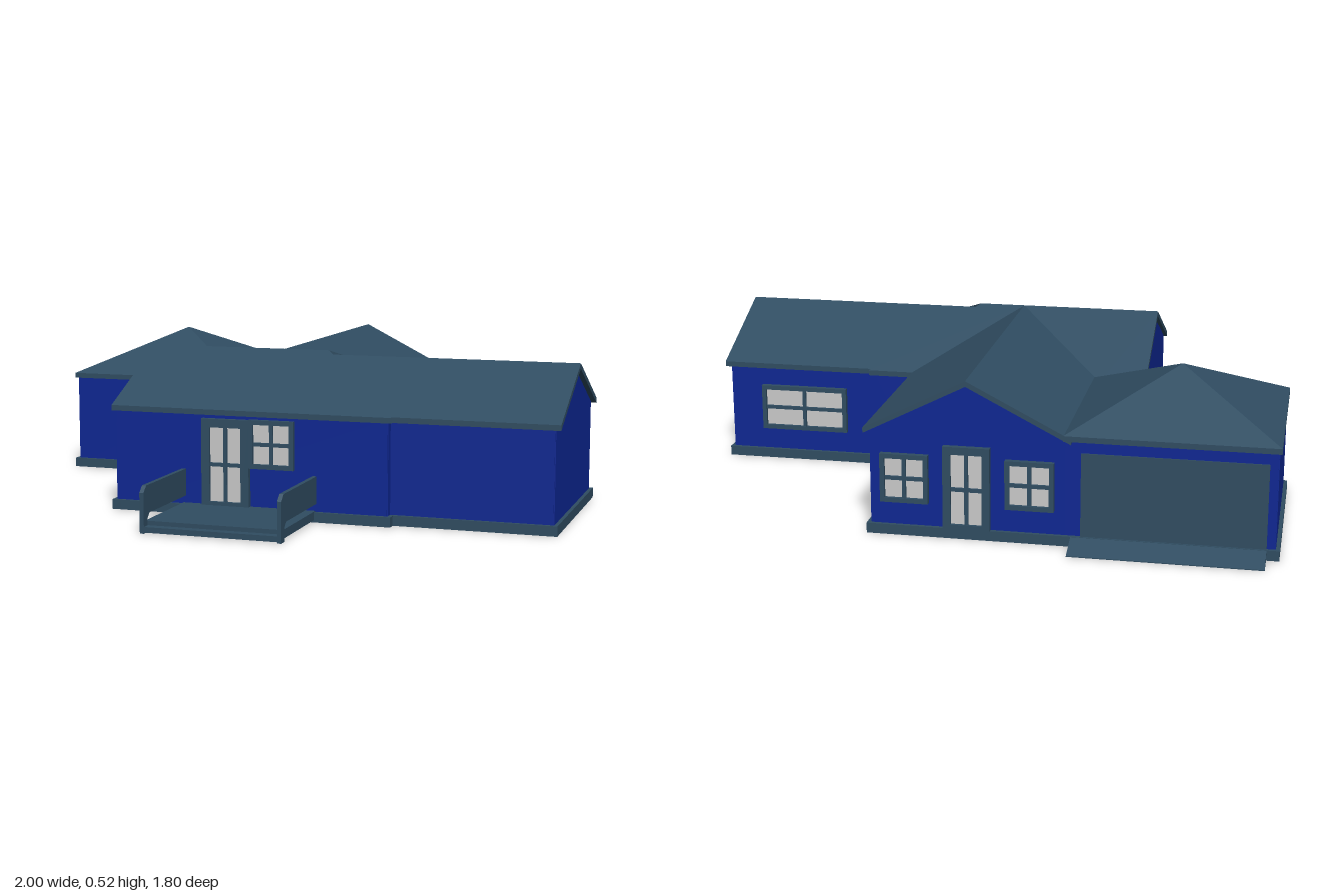
import * as THREE from 'three';

const mat = (color) => new THREE.MeshStandardMaterial({ color, flatShading: true, side: THREE.DoubleSide });
const wallMat = mat(0x0d2794);
const trimMat = mat(0x304d62);
const glassMat = mat(0xcccccc);

function add(parent, name, geometry, material, x = 0, y = 0, z = 0) {
  const mesh = new THREE.Mesh(geometry, material);
  mesh.name = name;
  mesh.position.set(x, y, z);
  parent.add(mesh);
  return mesh;
}

// Box given by its minimum and maximum corners
function block(parent, name, material, [x0, y0, z0], [x1, y1, z1]) {
  return add(parent, name, new THREE.BoxGeometry(x1 - x0, y1 - y0, z1 - z0), material,
    (x0 + x1) / 2, (y0 + y1) / 2, (z0 + z1) / 2);
}

// Convex roof plane, listed anticlockwise from above, with a vertical thickness
function slab(points, t = 0.018) {
  const n = points.length;
  const low = points.map(([x, y, z]) => [x, y - t, z]);
  const out = [];
  for (let i = 1; i < n - 1; i++) {
    out.push(points[0], points[i], points[i + 1], low[0], low[i + 1], low[i]);
  }
  for (let i = 0; i < n; i++) {
    const j = (i + 1) % n;
    out.push(points[i], low[i], low[j], points[i], low[j], points[j]);
  }
  const g = new THREE.BufferGeometry();
  g.setAttribute('position', new THREE.Float32BufferAttribute(out.flat(), 3));
  g.computeVertexNormals();
  return g;
}

// Thin wall between two plan points, optionally gabled, with a plinth at its foot
function wall(parent, name, x1, z1, x2, z2, { peak = 0, plinth = true } = {}) {
  const g = new THREE.Group();
  g.name = name;
  const len = Math.hypot(x2 - x1, z2 - z1), top = 0.345;
  const pts = [[0, 0.01], [len, 0.01], [len, top]];
  if (peak) pts.push([len / 2, peak]);
  pts.push([0, top]);
  const shape = new THREE.Shape(pts.map((p) => new THREE.Vector2(...p)));
  add(g, 'wallPanel', new THREE.ExtrudeGeometry(shape, { depth: 0.006, bevelEnabled: false }), wallMat, 0, 0, -0.003);
  if (plinth) block(g, 'plinth', trimMat, [-0.015, 0, -0.015], [len + 0.015, 0.033, 0.015]);
  g.position.set(x1, 0, z1);
  g.rotation.y = Math.atan2(z1 - z2, x2 - x1);
  parent.add(g);
}

// Window or door with 2 x 2 panes; local +z faces outwards
function opening(parent, name, x, y, z, turn, w, h, border = 0.015) {
  const g = new THREE.Group();
  g.name = name;
  const bar = 0.012;
  add(g, 'glass', new THREE.BoxGeometry(w - border, h - border, 0.014), glassMat, 0, h / 2, 0);
  for (const s of [-1, 1]) {
    add(g, 'frameSide', new THREE.BoxGeometry(border, h, 0.026), trimMat, s * (w - border) / 2, h / 2, 0.005);
  }
  add(g, 'frameTop', new THREE.BoxGeometry(w, border, 0.026), trimMat, 0, h - border / 2, 0.005);
  add(g, 'frameBottom', new THREE.BoxGeometry(w, 0.015, 0.026), trimMat, 0, 0.0075, 0.005);
  add(g, 'uprightBar', new THREE.BoxGeometry(bar, h, 0.012), trimMat, 0, h / 2, 0.009);
  add(g, 'crossBar', new THREE.BoxGeometry(w, bar, 0.012), trimMat, 0, (h - border + 0.015) / 2, 0.009);
  g.position.set(x, y, z);
  g.rotation.y = turn;
  parent.add(g);
}

export function createModel() {
  const house = new THREE.Group();
  house.name = 'house';

  // Walls
  const walls = new THREE.Group();
  walls.name = 'walls';
  house.add(walls);
  wall(walls, 'mainFrontWall', -0.49, 0.55, 0.45, 0.55);
  wall(walls, 'mainGableWall', -0.49, -0.17, -0.49, 0.55, { peak: 0.495 });
  wall(walls, 'mainBackWall', 0.29, -0.17, 0.45, -0.17);
  wall(walls, 'frontStepWall', 0.45, 0.55, 0.45, 0.52);
  wall(walls, 'backStepWall', 0.45, -0.14, 0.45, -0.17);
  wall(walls, 'sideWingFrontWall', 0.45, 0.52, 0.98, 0.52);
  wall(walls, 'sideWingBackWall', 0.98, -0.14, 0.45, -0.14);
  wall(walls, 'sideWingGableWall', 0.98, 0.52, 0.98, -0.14, { peak: 0.488 });
  wall(walls, 'backWingSideWall', 0.29, -0.17, 0.29, -0.80);
  wall(walls, 'backWingGableWall', 0.29, -0.80, -0.33, -0.80, { peak: 0.498 });
  wall(walls, 'garagePartition', -0.33, -0.80, -0.33, -0.17, { plinth: false });
  wall(walls, 'garageBackWall', -0.33, -0.80, -0.98, -0.80);
  wall(walls, 'garageSideWall', -0.98, -0.80, -0.98, -0.17);
  wall(walls, 'garageFrontWall', -0.98, -0.17, -0.33, -0.17);

  // Roofs
  const roof = new THREE.Group();
  roof.name = 'roof';
  house.add(roof);
  const H = 0.52, E = 0.352, R = 0.19;
  const plane = (name, ...pts) => add(roof, name, slab(pts), trimMat);
  const hub = [-0.02, H, R], mainEnd = [0.14, H, R];
  plane('mainFrontSlope', [-0.505, H, R], [-0.505, E, 0.56], [0.465, E, 0.56], mainEnd);
  plane('mainBackSlope', [-0.505, H, R], hub, [-0.35, E, -0.18], [-0.505, E, -0.18]);
  plane('mainBackSlope', hub, mainEnd, [0.465, E, -0.18], [0.31, E, -0.18]);
  plane('backWingSlope', hub, [0.31, E, -0.18], [0.31, E, -0.82], [-0.02, H, -0.82]);
  plane('backWingSlope', hub, [-0.02, H, -0.82], [-0.35, E, -0.82], [-0.35, E, -0.18]);
  const h = 0.506, e = 0.35;
  plane('sideWingFrontSlope', [0.13, h, R], [0.43, e, 0.53], [1, e, 0.53], [1, h, R]);
  plane('sideWingBackSlope', [0.13, h, R], [1, h, R], [1, e, -0.155], [0.43, e, -0.155]);
  const corners = [[-0.99, 0.362, -0.82], [-0.99, 0.362, -0.155], [-0.325, 0.362, -0.155], [-0.325, 0.362, -0.82]];
  corners.forEach((c, i) => plane('garageRoofSlope', [-0.657, H, -0.487], c, corners[(i + 1) % 4]));

  // Windows and doors
  const F = 0, L = Math.PI / 2, B = Math.PI, W = -Math.PI / 2;
  opening(house, 'frontDoor', -0.097, 0.033, 0.553, F, 0.165, 0.29, 0.028);
  opening(house, 'frontWindow', 0.062, 0.165, 0.553, F, 0.155, 0.16);
  opening(house, 'backDoor', -0.02, 0.033, -0.803, B, 0.15, 0.272, 0.025);
  for (const s of [-1, 1]) opening(house, 'backWindow', -0.02 + s * 0.2, 0.11, -0.803, B, 0.155, 0.16);
  for (const z of [-0.323, -0.64]) opening(house, 'backWingWindow', 0.293, 0.11, z, L, 0.155, 0.16);
  opening(house, 'sideWingWindow', 0.712, 0.11, -0.143, B, 0.31, 0.16);
  opening(house, 'gableWindow', -0.493, 0.11, 0.19, W, 0.31, 0.16);

  // Garage door, floor and ramp
  block(house, 'garageDoor', trimMat, [-0.955, 0.02, -0.808], [-0.38, 0.305, -0.795]);
  block(house, 'garageFloor', trimMat, [-0.99, 0.003, -0.81], [-0.325, 0.03, -0.16]);
  const rampShape = new THREE.Shape([[0.81, 0], [0.90, 0], [0.90, 0.003], [0.815, 0.032], [0.81, 0.032]]
    .map((p) => new THREE.Vector2(...p)));
  const ramp = add(house, 'garageRamp',
    new THREE.ExtrudeGeometry(rampShape, { depth: 0.605, bevelEnabled: false }), trimMat, -0.955, 0, 0);
  ramp.rotation.y = Math.PI / 2;
  ramp.geometry.translate(0, 0, -0.605);
  ramp.rotation.y = Math.PI / 2;
  ramp.position.x = -0.35;

  // Porch with solid side rails
  const porch = new THREE.Group();
  porch.name = 'porch';
  house.add(porch);
  block(porch, 'porchDeck', trimMat, [-0.25, 0.008, 0.55], [0.21, 0.036, 0.87]);
  block(porch, 'porchStep', trimMat, [-0.25, 0.004, 0.87], [0.21, 0.022, 0.9]);
  const railShape = new THREE.Shape([[0.555, 0.15], [0.555, 0.06], [0.855, 0.06], [0.87, 0.045],
    [0.87, 0], [0.90, 0], [0.90, 0.13], [0.878, 0.15]].map(([z, y]) => new THREE.Vector2(-z, y)));
  for (const x of [-0.241, 0.215]) {
    const rail = add(porch, 'porchRail',
      new THREE.ExtrudeGeometry(railShape, { depth: 0.014, bevelEnabled: false }), trimMat, x - 0.014, 0, 0);
    rail.rotation.y = Math.PI / 2;
  }
  return house;
}
